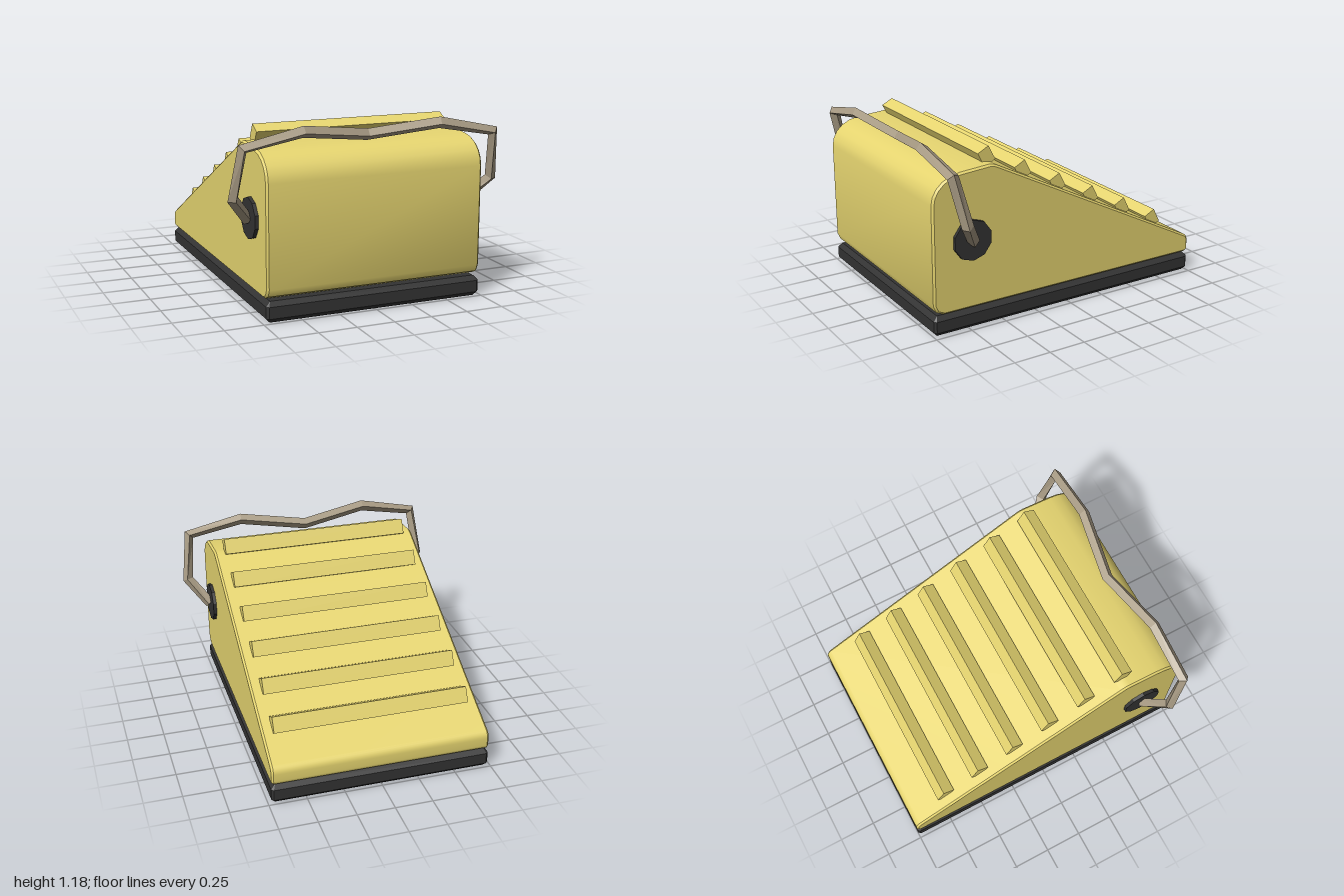
import * as THREE from 'three';
import { toCreasedNormals } from 'three/addons/utils/BufferGeometryUtils.js';

const mat = (color, flatShading = false) => new THREE.MeshStandardMaterial({ color, flatShading });

// Closed profile extruded to a total depth, centred, with bevels kept inside the outline
function bevelled(shape, depth, bevel) {
  const geo = new THREE.ExtrudeGeometry(shape, {
    depth: depth - 2 * bevel, bevelEnabled: true, bevelSize: bevel, bevelThickness: bevel,
    bevelOffset: -bevel, bevelSegments: 1, curveSegments: 5,
  });
  return geo.translate(0, 0, bevel - depth / 2);
}

// Square bar swept along a polyline, turned by a roll angle
function squareBar(points, radius, roll) {
  const pos = [], idx = [], last = points.length - 1;
  points.forEach((p, i) => {
    const t = new THREE.Vector3();
    if (i > 0) t.add(p.clone().sub(points[i - 1]).normalize());
    if (i < last) t.add(points[i + 1].clone().sub(p).normalize());
    t.normalize();
    const b = new THREE.Vector3(0, 0, 1).addScaledVector(t, -t.z).normalize();
    const u = t.clone().cross(b);
    for (let k = 0; k < 4; k++) {
      const a = roll + Math.PI / 4 + k * Math.PI / 2;
      const v = p.clone().addScaledVector(b, radius * Math.cos(a)).addScaledVector(u, radius * Math.sin(a));
      pos.push(v.x, v.y, v.z);
      if (i < last) {
        const n = (k + 1) % 4, o = i * 4;
        idx.push(o + k, o + n, o + 4 + n, o + k, o + 4 + n, o + 4 + k);
      }
    }
  });
  const e = last * 4;
  idx.push(0, 3, 2, 0, 2, 1, e, e + 1, e + 2, e, e + 2, e + 3);
  const geo = new THREE.BufferGeometry();
  geo.setAttribute('position', new THREE.Float32BufferAttribute(pos, 3));
  geo.setIndex(idx);
  geo.computeVertexNormals();
  return geo;
}

export function createModel() {
  const group = new THREE.Group();
  const yellow = mat(0xe6d570), dark = mat(0x333333, true), metal = mat(0xa89b84, true);
  const add = (name, geo, material) => {
    const mesh = new THREE.Mesh(geo, material);
    mesh.name = name;
    group.add(mesh);
    return mesh;
  };

  // Rubber base slab with chamfered edges
  const plan = new THREE.Shape();
  const w = 0.73, c = 0.015;
  plan.moveTo(-w + c, -1);
  plan.lineTo(w - c, -1); plan.lineTo(w, -1 + c);
  plan.lineTo(w, 1 - c); plan.lineTo(w - c, 1);
  plan.lineTo(-w + c, 1); plan.lineTo(-w, 1 - c);
  plan.lineTo(-w, -1 + c);
  plan.closePath();
  add('base', bevelled(plan, 0.135, 0.03).rotateX(-Math.PI / 2).translate(0, 0.0675, 0), dark);

  // Wedge body, profile drawn as (z, y)
  const side = new THREE.Shape();
  side.moveTo(-0.97, 0.142);
  side.lineTo(0.93, 0.142);
  side.lineTo(0.98, 0.165);
  side.lineTo(1, 0.21);
  side.lineTo(1, 0.86);
  side.bezierCurveTo(1, 0.95, 0.92, 1.03, 0.8, 1.04);
  side.lineTo(0.6, 1.055);
  side.quadraticCurveTo(0.565, 1.055, 0.53, 1.035);
  side.lineTo(-0.97, 0.272);
  side.quadraticCurveTo(-1, 0.255, -1, 0.22);
  side.lineTo(-1, 0.17);
  side.quadraticCurveTo(-1, 0.142, -0.97, 0.142);
  const body = bevelled(side, 1.455, 0.013).rotateY(-Math.PI / 2);
  add('wedgeBody', toCreasedNormals(body, 0.6), yellow);

  // Tilted grip ribs stepping down the ramp
  for (let i = 0; i < 6; i++) {
    const rib = add('gripRib', new THREE.BoxGeometry(1.31, 0.105, 0.085), yellow);
    rib.position.set(0, 1.084 - i * 0.134, 0.579 - i * 0.262);
    rib.rotation.x = 0.48;
  }

  // Ten-sided pivot plates on both sides
  for (const s of [-1, 1]) {
    const plate = add(s > 0 ? 'leftPivot' : 'rightPivot',
      new THREE.CylinderGeometry(0.133, 0.133, 0.05, 10).rotateZ(Math.PI / 2), dark);
    plate.rotation.x = Math.PI / 2;
    plate.position.set(s * 0.725, 0.6, 0.733);
  }

  // Bent carrying handle, mirrored about the middle
  const half = [
    [0.75, 0.59, 0.73], [0.883, 0.75, 0.845], [0.845, 1.065, 0.92], [0.46, 1.142, 0.92],
  ];
  const path = [
    ...half.map(([x, y, z]) => new THREE.Vector3(x, y, z)),
    new THREE.Vector3(0, 1.085, 0.84),
    ...half.slice().reverse().map(([x, y, z]) => new THREE.Vector3(-x, y, z)),
  ];
  add('handle', squareBar(path, 0.038, 0.6), metal);

  return group;
}
